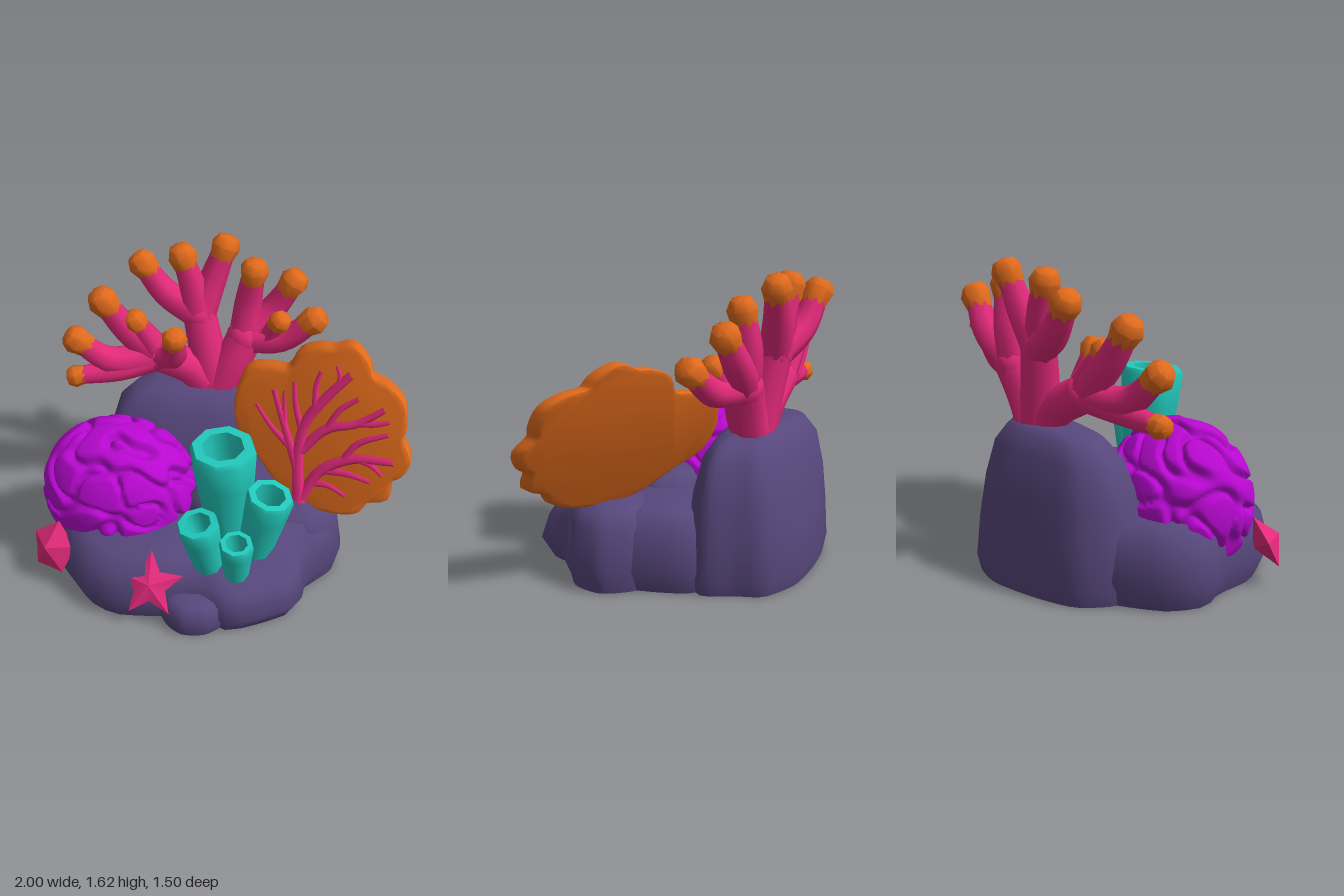
import * as THREE from 'three';
import { mergeVertices, toCreasedNormals } from 'three/addons/utils/BufferGeometryUtils.js';

const V = (p) => new THREE.Vector3(...p);
const UP = new THREE.Vector3(0, 1, 0);

function material(name, color) {
  const m = new THREE.MeshStandardMaterial({ color });
  m.name = name;
  return m;
}

// Moves every vertex by a rule, then rebuilds smooth normals across seams
function deform(geo, rule) {
  geo.deleteAttribute('uv');
  geo.deleteAttribute('normal');
  const g = mergeVertices(geo, 1e-4);
  const pos = g.attributes.position, p = new THREE.Vector3();
  for (let i = 0; i < pos.count; i++) {
    rule(p.fromBufferAttribute(pos, i));
    pos.setXYZ(i, p.x, p.y, p.z);
  }
  g.computeVertexNormals();
  return g;
}

// Stacked rings [y, scaleX, scaleZ] of one closed ground outline [x, z]
function loft(outline, [cx, cz], rings, heightRule = () => 1) {
  const n = 52, pos = [], index = [];
  const curve = new THREE.CatmullRomCurve3(outline.map(([x, z]) => V([x, 0, z])), true, 'catmullrom', 0.35);
  const pts = Array.from({ length: n }, (_, j) => curve.getPointAt(j / n));
  rings.forEach(([y, sx, sz], i) => {
    pts.forEach((p, j) => {
      const x = cx + (p.x - cx) * sx, z = cz + (p.z - cz) * sz;
      pos.push(x, y * heightRule(x, z), z);
      if (i === rings.length - 1) return;
      const a = i * n + j, b = i * n + (j + 1) % n;
      index.push(a, b, a + n, b, b + n, a + n);
    });
  });
  const g = new THREE.BufferGeometry();
  g.setAttribute('position', new THREE.Float32BufferAttribute(pos, 3));
  g.setIndex(index);
  return toCreasedNormals(g, 1.1);
}

// Tapered tube along a smooth path
function limb(points, r0, r1, sides = 8, segs = 10) {
  const curve = new THREE.CatmullRomCurve3(points.map(V));
  const g = new THREE.TubeGeometry(curve, segs, 1, sides);
  const pos = g.attributes.position, p = new THREE.Vector3();
  for (let i = 0; i < pos.count; i++) {
    const t = Math.floor(i / (sides + 1)) / segs, c = curve.getPointAt(t);
    p.fromBufferAttribute(pos, i).sub(c).multiplyScalar(r0 + (r1 - r0) * t).add(c);
    pos.setXYZ(i, p.x, p.y, p.z);
  }
  return g;
}

const lathe = (profile, sides, crease) =>
  toCreasedNormals(new THREE.LatheGeometry(profile.map((p) => new THREE.Vector2(...p)), sides), crease);

// Five-armed star with a raised centre
function starGeometry(r, inner, rise) {
  const pos = [], rim = [];
  for (let i = 0; i < 10; i++) {
    const a = Math.PI / 2 + 0.06 + i * Math.PI / 5, d = i % 2 ? inner : r;
    rim.push([Math.cos(a) * d, Math.sin(a) * d, 0]);
  }
  rim.forEach((p, i) => {
    const q = rim[(i + 1) % 10];
    pos.push(...p, ...q, 0, 0, rise, ...q, ...p, 0, 0, -0.07);
  });
  const g = new THREE.BufferGeometry();
  g.setAttribute('position', new THREE.Float32BufferAttribute(pos, 3));
  return toCreasedNormals(g, 0.6);
}

export function createModel() {
  const root = new THREE.Group();
  const rock = material('slate purple rock', 0x57477c), pink = material('coral pink', 0xe32a7a);
  const orange = material('orange', 0xe06a1c), teal = material('teal', 0x22cabc);
  const violet = material('violet', 0xb808d0);
  const group = (name) => { const g = new THREE.Group(); g.name = name; root.add(g); return g; };
  const add = (parent, name, geo, mat) => {
    const m = new THREE.Mesh(geo, mat);
    m.name = name;
    parent.add(m);
    return m;
  };

  // Rock: low base and tall back boulder
  const rocks = group('rock');
  const smooth = THREE.MathUtils.smoothstep;
  add(rocks, 'rockBase', loft(
    [[0.66, 0.12], [0.56, -0.1], [0.44, -0.3], [0.3, -0.45], [0, -0.52], [-0.4, -0.55], [-0.72, -0.4], [-0.95, -0.2], [-1, 0],
      [-0.9, 0.15], [-0.82, 0.4], [-0.62, 0.62], [-0.45, 0.69], [-0.2, 0.66], [0, 0.62], [0.2, 0.69], [0.5, 0.5], [0.53, 0.32]],
    [-0.15, 0],
    [[0, 0, 0], [0, 0.93, 0.95], [0.13, 1, 1], [0.33, 0.95, 0.94], [0.41, 0.86, 0.82], [0.43, 0.5, 0.5], [0.43, 0, 0]],
    (x, z) => 1 - (0.15 + 0.18 * smooth(x, -0.25, 0.1)) * smooth(z, 0.18, 0.5) + 0.03 * Math.sin(x * 9 + z * 5)), rock);
  add(rocks, 'backBoulder', loft(
    [[0.3, -0.46], [0.18, -0.6], [0.08, -0.72], [-0.15, -0.75], [-0.42, -0.67], [-0.65, -0.55], [-0.74, -0.36],
      [-0.68, -0.14], [-0.4, -0.08], [-0.05, -0.14], [0.2, -0.28]],
    [-0.2, -0.45],
    [[0, 0, 0], [0, 0.96, 0.94], [0.08, 1, 1], [0.3, 0.97, 0.93], [0.5, 0.93, 0.82], [0.68, 0.83, 0.66],
      [0.77, 0.66, 0.48], [0.8, 0.45, 0.34], [0.8, 0, 0]]), rock);
  // Blocky lumps: centre x z, half width, half depth, height
  for (const [cx, cz, rx, rz, h] of [
    [0.4, 0.03, 0.28, 0.24, 0.45], [0.02, 0.07, 0.22, 0.25, 0.52], [-0.02, 0.6, 0.18, 0.15, 0.175],
  ]) {
    const ring = Array.from({ length: 8 }, (_, i) => {
      const a = -0.25 + i * Math.PI / 4, r = 1 + 0.05 * Math.sin(i * 2.6 + cx * 9);
      return [cx + Math.cos(a) * rx * r, cz - Math.sin(a) * rz * r];
    });
    add(rocks, 'rockLump', loft(ring, [cx, cz],
      [[0, 0, 0], [0, 0.88, 0.9], [h * 0.3, 1, 1], [h * 0.78, 0.88, 0.9], [h * 0.93, 0.72, 0.72], [h, 0.4, 0.4], [h, 0, 0]]), rock);
  }

  // Brain coral: dome with winding grooves made from crossing waves
  const waves = Array.from({ length: 9 }, (_, i) => {
    const h = 1 - 2 * (i + 0.5) / 9, a = i * 2.4, r = Math.sqrt(1 - h * h);
    return { k: V([r * Math.cos(a), h, r * Math.sin(a)]).multiplyScalar(11.5), s: i * i * 1.7 };
  });
  add(root, 'brainCoral', deform(new THREE.SphereGeometry(1, 140, 90), (p) => {
    const f = waves.reduce((sum, w) => sum + Math.sin(w.k.dot(p) + w.s), 0);
    p.multiplyScalar(1.01 - 0.11 * Math.exp(-f * f / 0.5));
    p.set(-0.53 + p.x * 0.42, 0.42 + p.y * 0.4, 0.115 + p.z * 0.345);
  }), violet);

  // Tube sponges: base, top, base radius, top radius
  const sponges = group('tubeSponges');
  for (const [base, top, r0, r1] of [
    [[0.09, 0.24, 0.28], [0.08, 0.945, 0.34], 0.09, 0.17],
    [[0.24, 0.25, 0.34], [0.33, 0.7, 0.37], 0.085, 0.125],
    [[0.04, 0.24, 0.47], [-0.01, 0.6, 0.54], 0.075, 0.11],
    [[0.18, 0.24, 0.5], [0.19, 0.5, 0.54], 0.065, 0.09],
  ]) {
    const axis = V(top).sub(V(base)), h = axis.length();
    const m = add(sponges, 'tubeSponge', lathe(
      [[0, 0], [r0, 0], [r1 * 0.93, h * 0.72], [r1, h - 0.025], [r1 * 0.93, h], [r1 * 0.64, h], [r1 * 0.5, h * 0.5], [0, h * 0.5]],
      8, 0.95), teal);
    m.position.set(...base);
    m.quaternion.setFromUnitVectors(UP, axis.normalize());
  }

  // Branching coral: three trunks that split into arms with orange tips
  const branching = group('branchingCoral');
  const foot = [-0.13, 0.72, -0.45], left = [-0.42, 0.98, -0.37], mid = [-0.22, 1.18, -0.5], right = [0.03, 1.06, -0.51];
  for (const [path, r0, r1] of [
    [[foot, [-0.25, 0.88, -0.42], left], 0.1, 0.095],
    [[foot, [-0.17, 0.95, -0.47], mid], 0.11, 0.09],
    [[foot, [-0.04, 0.9, -0.47], right], 0.11, 0.1],
  ]) {
    add(branching, 'trunk', limb(path, r0, r1, 10), pink);
    add(branching, 'fork', new THREE.SphereGeometry(r1 * 1.03, 12, 8), pink).position.set(...path[2]);
  }
  const bulb = lathe([[0, -0.07], [0.062, -0.07], [0.08, 0.015], [0.056, 0.062], [0, 0.075]], 7, 0.95);
  for (const [path, size = 1] of [
    [[left, [-0.62, 0.92, -0.27], [-0.84, 0.89, -0.2]], 0.78],
    [[left, [-0.66, 0.98, -0.26], [-0.82, 1.12, -0.2]]],
    [[left, [-0.47, 1.08, -0.35], [-0.53, 1.2, -0.32]], 0.85],
    [[left, [-0.32, 1.03, -0.3], [-0.3, 1.16, -0.24]], 0.9],
    [[left, [-0.58, 1.14, -0.33], [-0.69, 1.32, -0.29]], 1.05],
    [[mid, [-0.41, 1.28, -0.52], [-0.53, 1.44, -0.52]]],
    [[mid, [-0.26, 1.35, -0.51], [-0.31, 1.51, -0.51]]],
    [[mid, [-0.16, 1.36, -0.56], [-0.1, 1.54, -0.6]]],
    [[right, [0.04, 1.25, -0.54], [0.07, 1.45, -0.53]]],
    [[right, [0.17, 1.21, -0.59], [0.27, 1.37, -0.6]]],
    [[right, [0.16, 1.09, -0.5], [0.22, 1.19, -0.48]], 0.8],
    [[right, [0.24, 1.08, -0.5], [0.4, 1.21, -0.5]]],
  ]) {
    add(branching, 'branch', limb(path, 0.09, 0.06 * size), pink);
    const end = V(path[2]), m = add(branching, 'branchTip', bulb, orange);
    m.position.copy(end);
    m.quaternion.setFromUnitVectors(UP, end.sub(V(path[1])).normalize());
    m.scale.setScalar(size);
  }

  // Sea fan: scalloped plate and veins, leaned back and turned by a shear
  const fan = group('seaFan');
  const lean = (p) => { p.z += 0.04 + 0.38 * (p.x - 0.45) - 0.43 * (p.y - 0.45); };
  const outline = [[0.45, 0.44], [0.3, 0.5], [0.18, 0.6], [0.07, 0.68], [0.04, 0.8], [0.06, 0.9], [0.1, 0.98], [0.22, 1.02],
    [0.32, 1.04], [0.38, 1.14], [0.48, 1.19], [0.55, 1.2], [0.64, 1.24], [0.72, 1.19], [0.75, 1.13], [0.84, 1.11], [0.92, 1.06],
    [0.94, 0.96], [0.93, 0.9], [0.98, 0.82], [0.95, 0.74], [0.9, 0.7], [0.89, 0.61], [0.79, 0.56], [0.75, 0.5], [0.66, 0.46]];
  const shape = new THREE.Shape();
  const edge = new THREE.CatmullRomCurve3(outline.map(([x, y]) => V([x, y, 0])), true);
  shape.setFromPoints(edge.getPoints(78).slice(0, -1).map((p) => new THREE.Vector2(p.x, p.y)));
  const plate = new THREE.ExtrudeGeometry(shape, { depth: 0.04, bevelThickness: 0.025, bevelSize: 0.02, bevelSegments: 2 });
  plate.translate(0, 0, -0.035);
  add(fan, 'fanPlate', toCreasedNormals(deform(plate, lean), 0.6), orange);
  for (const [r, ...path] of [
    [0.04, [0.44, 0.43], [0.41, 0.65], [0.43, 0.83], [0.54, 1.0], [0.65, 1.13]],
    [0.032, [0.44, 0.45], [0.53, 0.62], [0.7, 0.74], [0.91, 0.79]],
    [0.03, [0.41, 0.6], [0.33, 0.76], [0.24, 0.94]],
    [0.028, [0.41, 0.68], [0.55, 0.84], [0.7, 0.91], [0.84, 1.02]],
    [0.023, [0.42, 0.78], [0.37, 0.9], [0.35, 1.01]],
    [0.023, [0.48, 0.92], [0.47, 1.02], [0.49, 1.1]],
    [0.02, [0.55, 0.84], [0.61, 0.95], [0.7, 1.03]],
    [0.02, [0.64, 0.7], [0.72, 0.82], [0.87, 0.91]],
    [0.02, [0.56, 0.64], [0.68, 0.66], [0.8, 0.66]],
    [0.02, [0.36, 0.69], [0.24, 0.76], [0.15, 0.84]],
    [0.018, [0.32, 0.78], [0.31, 0.86], [0.3, 0.95]],
    [0.018, [0.59, 1.06], [0.59, 1.11], [0.57, 1.15]],
    [0.018, [0.48, 0.55], [0.58, 0.57], [0.68, 0.55]],
    [0.018, [0.72, 0.75], [0.8, 0.74], [0.86, 0.71]],
    [0.018, [0.72, 0.92], [0.8, 0.94], [0.87, 0.97]],
  ]) {
    const vein = limb(path.map(([x, y]) => [x, y, 0.032]), r, r * 0.5, 6, 12);
    add(fan, 'fanVein', deform(vein, lean), pink);
  }

  // Starfish clinging to the front and the side
  for (const [name, at, facing, r, inner, rise] of [
    ['frontStarfish', [-0.24, 0.235, 0.645], [0, 0.55, 0.83], 0.18, 0.085, 0.04],
    ['sideStarfish', [-0.82, 0.215, 0.44], [-0.35, 0.45, 0.82], 0.145, 0.115, 0.08],
  ]) {
    const m = add(root, name, starGeometry(r, inner, rise), pink);
    m.position.set(...at);
    m.lookAt(V(at).add(V(facing)));
  }
  return root;
}
